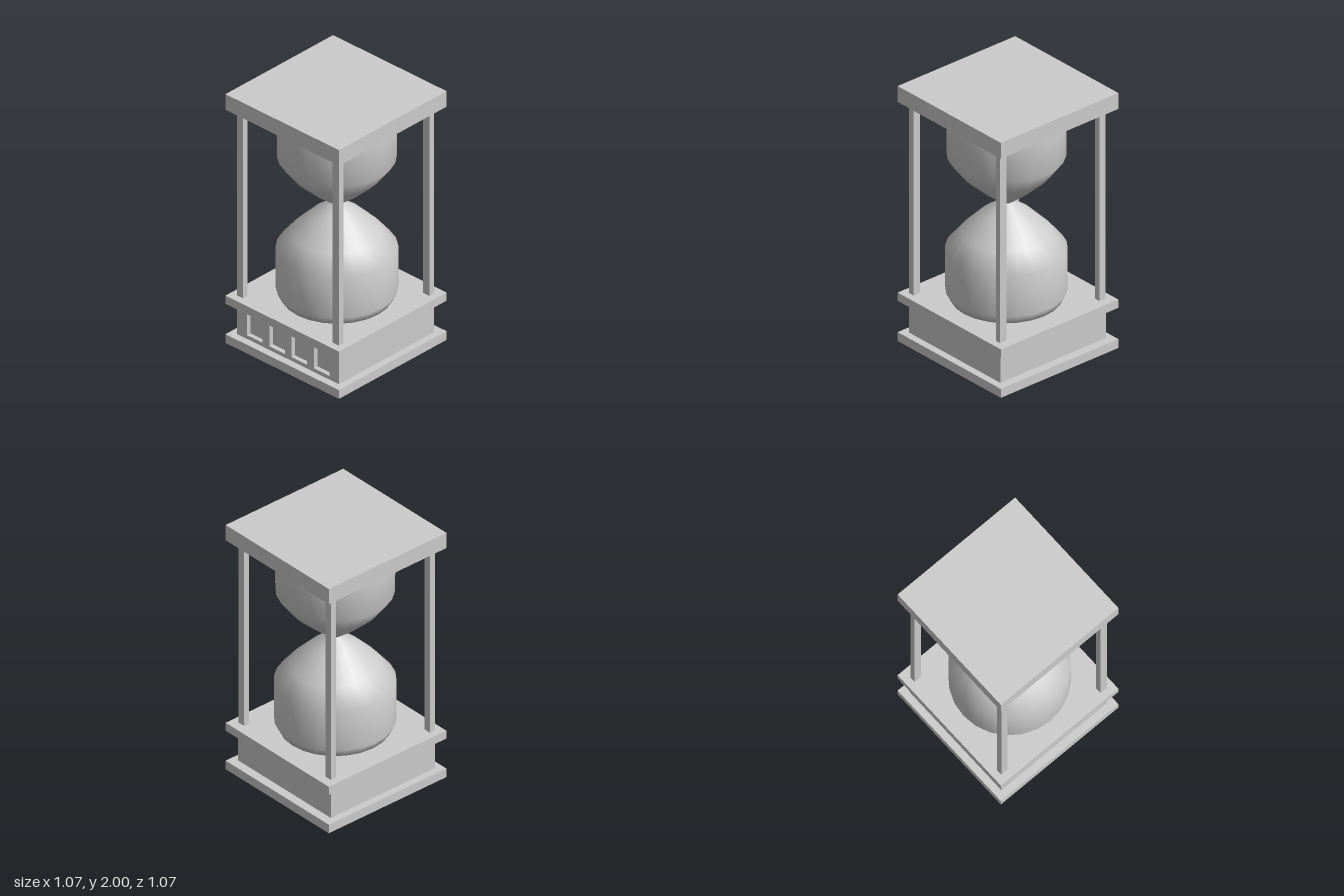
import * as THREE from 'three';

const material = new THREE.MeshStandardMaterial({ color: 0xcccccc });

function add(group, name, geometry, x = 0, y = 0, z = 0) {
  const mesh = new THREE.Mesh(geometry, material);
  mesh.name = name;
  mesh.position.set(x, y, z);
  group.add(mesh);
}

// Box given by its lower and upper limits on each axis
function addBox(group, name, [x0, x1], [y0, y1], [z0, z1]) {
  add(group, name, new THREE.BoxGeometry(x1 - x0, y1 - y0, z1 - z0),
    (x0 + x1) / 2, (y0 + y1) / 2, (z0 + z1) / 2);
}

function rectangle(path, x0, y0, x1, y1) {
  return path.moveTo(x0, y0).lineTo(x1, y0).lineTo(x1, y1).lineTo(x0, y1).closePath();
}

// Glass bulb turned from a profile of [radius, height], bottom to top
function addBulb(group, name, profile) {
  const points = profile.map(([r, y]) => new THREE.Vector2(r, y));
  add(group, name, new THREE.LatheGeometry(points, 24), 0.012, 0, 0.003);
}

export function createModel() {
  const group = new THREE.Group();
  group.name = 'hourglass';

  // Square slabs
  const wide = [-0.537, 0.537];
  addBox(group, 'bottomSlab', wide, [0, 0.07], wide);
  addBox(group, 'middleSlab', wide, [0.315, 0.38], wide);
  addBox(group, 'topSlab', wide, [1.875, 2], wide);

  // Plinth with four recessed windows in its front
  const recess = 0.035;
  addBox(group, 'plinth', [-0.482, 0.482], [0.07, 0.315], [-0.47, 0.48 - recess]);
  const front = rectangle(new THREE.Shape(), -0.482, 0.07, 0.482, 0.315);
  for (let i = 0; i < 4; i++) {
    const x = -0.386 + i * 0.211;
    front.holes.push(rectangle(new THREE.Path(), x, 0.1, x + 0.147, 0.293));
  }
  add(group, 'plinthFront',
    new THREE.ExtrudeGeometry(front, { depth: recess, bevelEnabled: false }), 0, 0, 0.48 - recess);

  // Corner posts
  for (const side of [-1, 1]) {
    const x = [side * 0.453 - 0.029, side * 0.453 + 0.029];
    const name = side > 0 ? 'left' : 'right';
    addBox(group, name + 'FrontPost', x, [0.38, 1.865], [0.435, 0.48]);
    addBox(group, name + 'BackPost', x, [0.38, 1.865], [-0.468, -0.423]);
  }

  // Bulbs meeting at the neck
  addBulb(group, 'lowerBulb', [
    [0, 0.381], [0.39, 0.385], [0.422, 0.45], [0.422, 0.77],
    [0.315, 0.9], [0.175, 1.04], [0.043, 1.132],
  ]);
  addBulb(group, 'upperBulb', [
    [0.043, 1.132], [0.165, 1.228], [0.308, 1.36], [0.412, 1.5],
    [0.415, 1.805], [0.38, 1.863], [0, 1.866],
  ]);

  return group;
}
